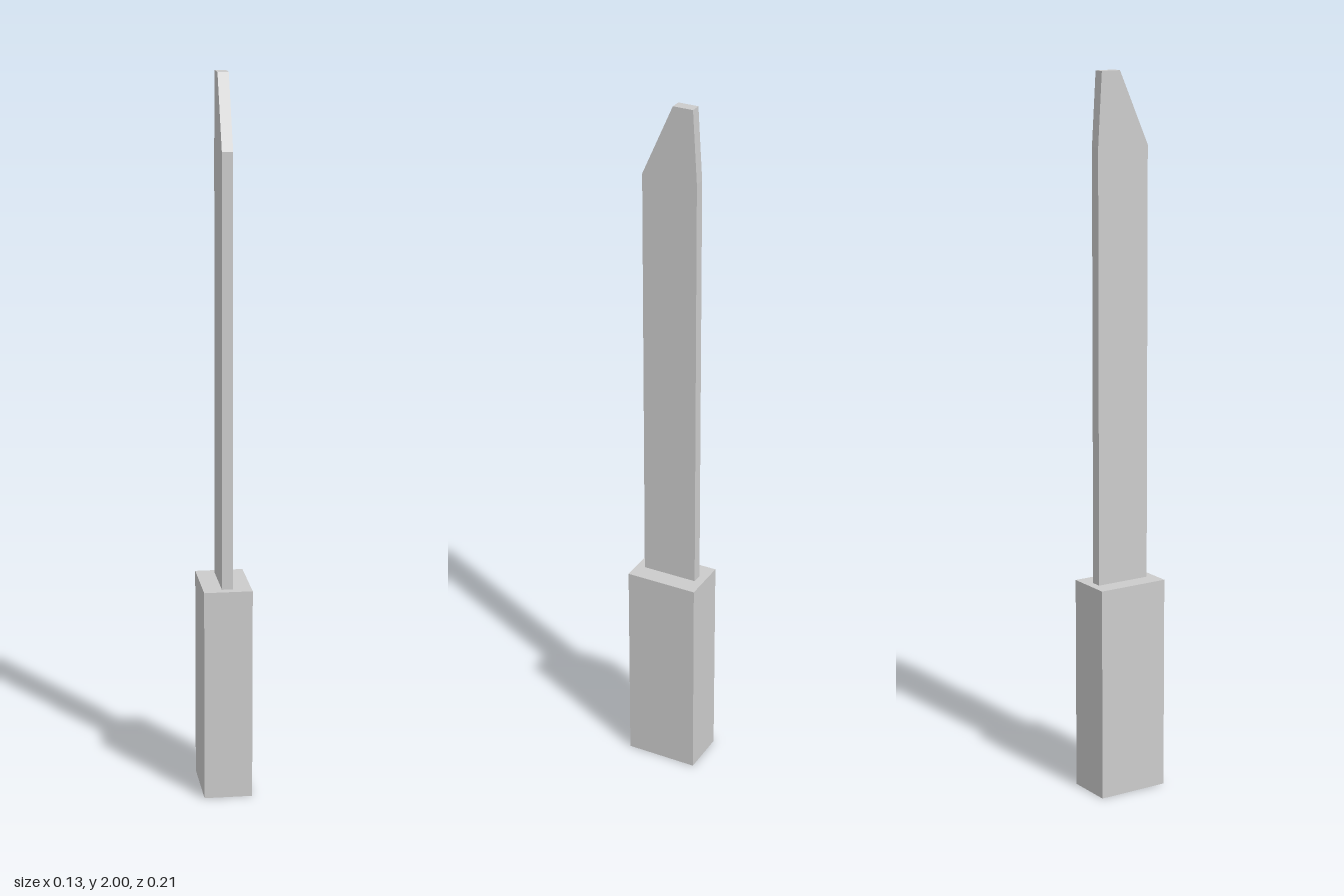
import * as THREE from 'three';

export function createModel() {
  const model = new THREE.Group();
  const material = new THREE.MeshStandardMaterial({ color: 0xcccccc, flatShading: true });

  // Block handle
  const handleHeight = 0.6;
  const handle = new THREE.Mesh(new THREE.BoxGeometry(0.134, handleHeight, 0.206), material);
  handle.name = 'handle';
  handle.position.y = handleHeight / 2;
  model.add(handle);

  // Flat blade: side profile as (z, y), with a long slope at the front of the tip
  const thickness = 0.03;
  const profile = new THREE.Shape([
    [-0.079, handleHeight],
    [0.079, handleHeight],
    [0.079, 1.8],
    [-0.01, 2],
    [-0.067, 2],
    [-0.079, 1.8],
  ].map(([z, y]) => new THREE.Vector2(z, y)));
  const bladeGeometry = new THREE.ExtrudeGeometry(profile, { depth: thickness, bevelEnabled: false });
  bladeGeometry.translate(0, 0, -thickness / 2);
  bladeGeometry.rotateY(-Math.PI / 2);
  const blade = new THREE.Mesh(bladeGeometry, material);
  blade.name = 'blade';
  model.add(blade);

  return model;
}
